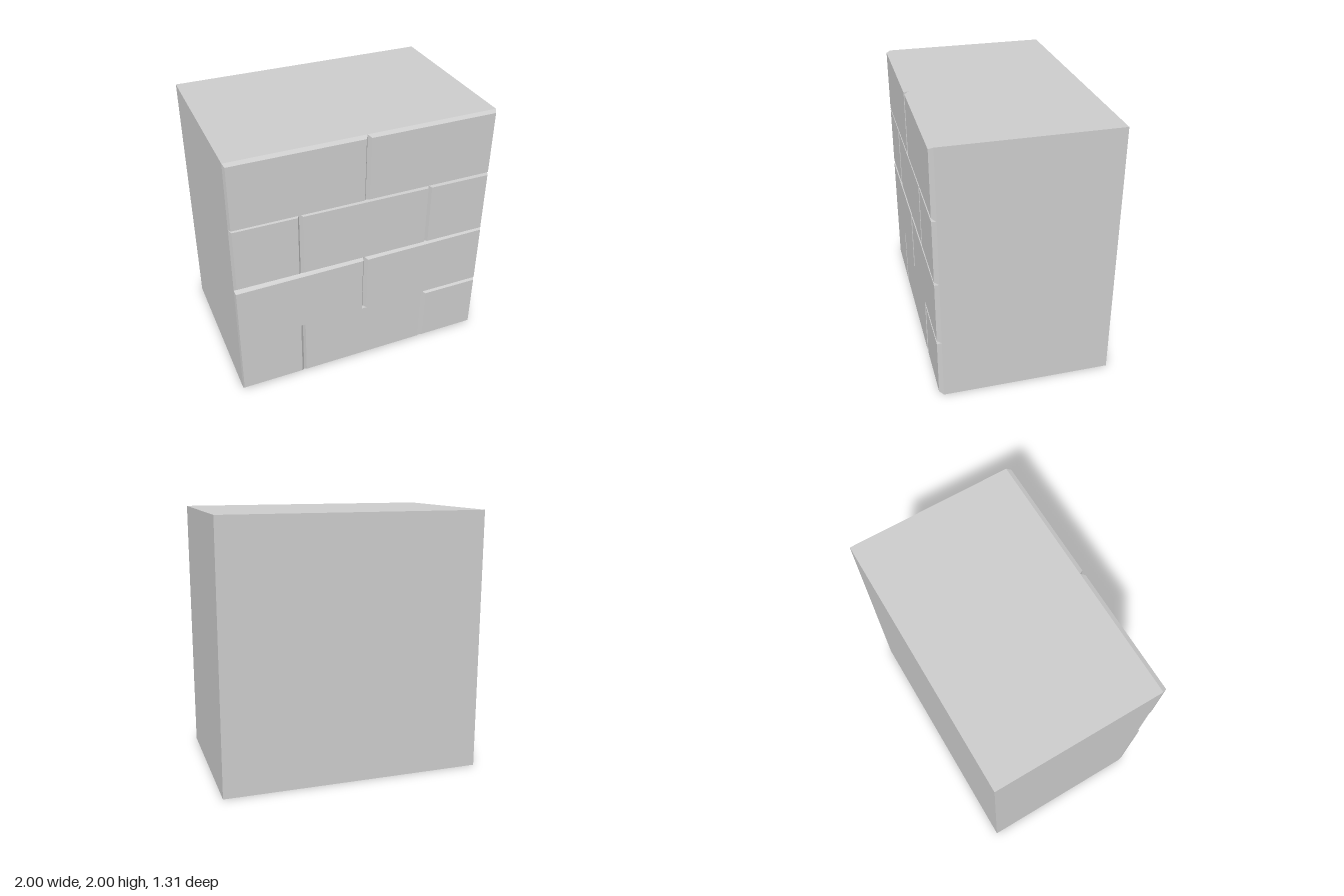
import * as THREE from 'three';

const BACK = -0.655, WALL = 0.622, FACE = 0.655;
const material = new THREE.MeshStandardMaterial({ color: 0xcccccc, flatShading: true });

// Corners of a four-sided outline; y values may be [left, right] pairs for sloped edges.
function corners([x0, x1, bottom, top], z) {
  const [b0, b1] = [bottom].flat().length > 1 ? bottom : [bottom, bottom];
  const [t0, t1] = [top].flat().length > 1 ? top : [top, top];
  return [[x0, b0, z], [x1, b1, z], [x1, t1, z], [x0, t0, z]];
}

// Chamfered brick face: root outline on the wall, smaller outline at the front.
function brick(name, root, front) {
  const a = corners(root, WALL), f = corners(front, FACE);
  const positions = [];
  const quad = (p, q, r, s) => positions.push(...p, ...q, ...r, ...p, ...r, ...s);
  quad(...f);
  for (let i = 0; i < 4; i++) {
    const j = (i + 1) % 4;
    quad(a[i], a[j], f[j], f[i]);
  }
  const geometry = new THREE.BufferGeometry();
  geometry.setAttribute('position', new THREE.Float32BufferAttribute(positions, 3));
  geometry.computeVertexNormals();
  const mesh = new THREE.Mesh(geometry, material);
  mesh.name = name;
  return mesh;
}

export function createModel() {
  const group = new THREE.Group();
  group.name = 'brickBlock';

  // Solid block behind the brick faces
  const core = new THREE.Mesh(new THREE.BoxGeometry(2, 2, WALL - BACK), material);
  core.name = 'wallCore';
  core.position.set(0, 1, (WALL + BACK) / 2);
  group.add(core);

  // Brick faces: [name, root outline, front outline] as x0, x1, bottom, top
  const bricks = [
    // Top course
    ['topLeftBrick', [-1, 0, [1.495, 1.485], 2], [-0.99, -0.02, 1.5, 1.985]],
    ['topRightBrick', [0, 1, [1.485, 1.477], 2], [0.02, 0.982, 1.5, 1.985]],
    // Third course
    ['thirdLeftBrick', [-1, -0.5, 0.975, [1.495, 1.49]], [-0.985, -0.52, 1, [1.485, 1.483]]],
    ['thirdMiddleBrick', [-0.5, 0.5, [0.975, 0.983], [1.49, 1.481]], [-0.48, 0.485, 1, [1.483, 1.477]]],
    ['thirdRightBrick', [0.5, 1, [0.983, 0.987], [1.481, 1.477]], [0.515, 0.982, 1, [1.477, 1.474]]],
    // Second course, running into the bottom one left of the short corner brick
    ['secondLeftBrick', [-1, 0, 0.5, [0.975, 0.98]], [-0.995, -0.02, 0.5, [0.957, 0.965]]],
    ['secondMiddleBrick', [0, 0.52, 0.5, [0.98, 0.983]], [0.02, 0.52, 0.5, [0.965, 0.97]]],
    ['secondRightBrick', [0.52, 1, 0.485, [0.983, 0.987]], [0.52, 0.985, 0.5, [0.97, 0.975]]],
    // Bottom course
    ['bottomLeftBrick', [-1, -0.495, 0, 0.5], [-0.995, -0.52, 0.028, 0.5]],
    ['bottomMiddleBrick', [-0.495, 0.515, 0, 0.5], [-0.485, 0.5, 0.028, 0.5]],
    ['bottomRightBrick', [0.515, 1, 0, 0.485], [0.54, 0.985, 0.028, 0.47]],
  ];
  for (const [name, root, front] of bricks) group.add(brick(name, root, front));

  return group;
}
